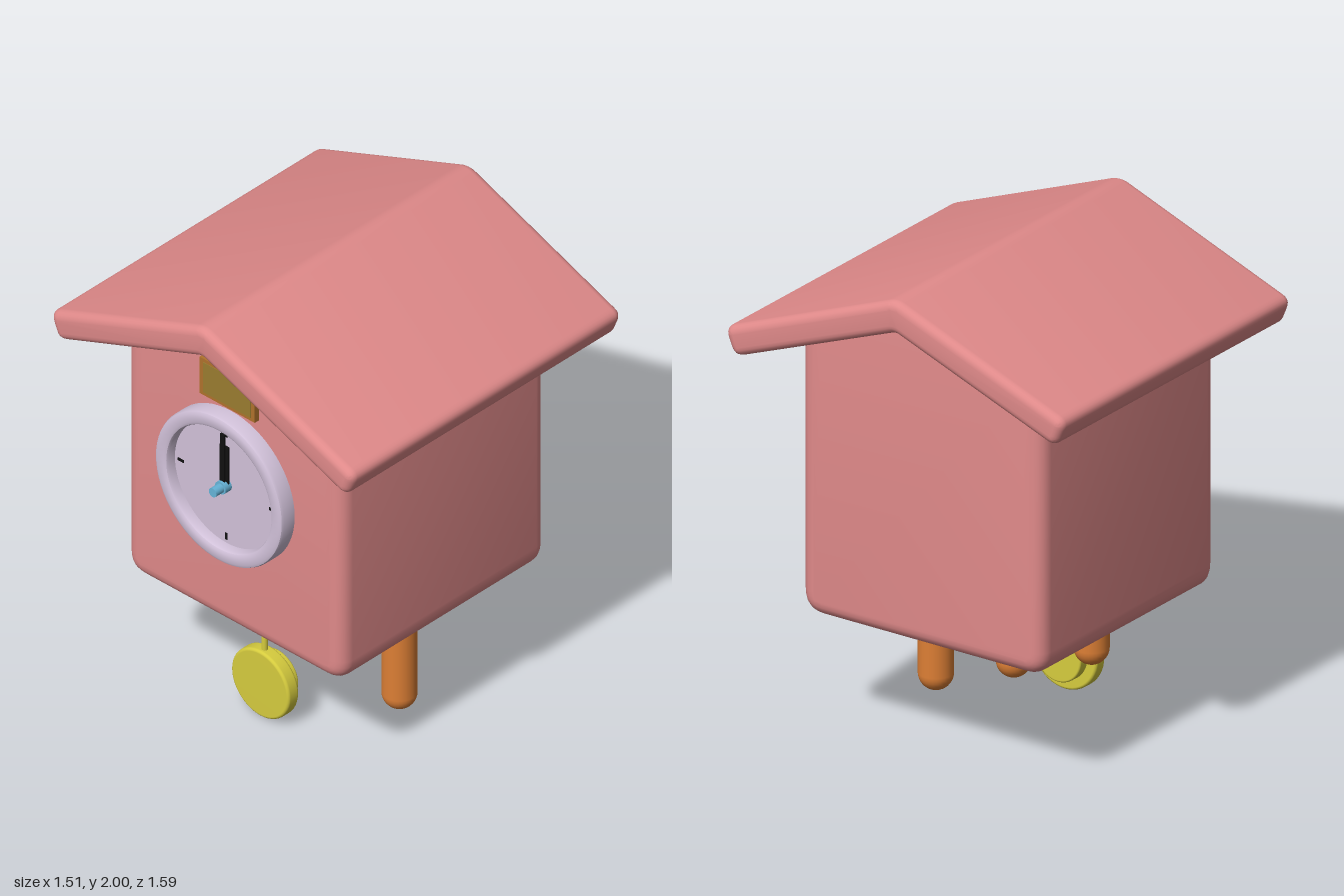
import * as THREE from 'three';
import { toCreasedNormals } from 'three/addons/utils/BufferGeometryUtils.js';

const paint = (color) => new THREE.MeshStandardMaterial({ color });
const pink = paint(0xe08a8a), orange = paint(0xdd7f35), yellow = paint(0xd6cc3e);
const lilac = paint(0xd2c2da), black = paint(0x111111), blue = paint(0x66b4d8);
const gold = paint(0x9a7c30), brown = paint(0xb0722c);

function add(parent, name, geometry, material, x = 0, y = 0, z = 0) {
  const mesh = new THREE.Mesh(geometry, material);
  mesh.name = name;
  mesh.position.set(x, y, z);
  parent.add(mesh);
  return mesh;
}

// Closed outline with softened corners; each corner is [x, y, rounding]
function roundedOutline(corners) {
  const shape = new THREE.Shape();
  const n = corners.length;
  corners.forEach(([x, y, r], i) => {
    const p = new THREE.Vector2(x, y);
    const toward = (c) => new THREE.Vector2(c[0], c[1]).sub(p).setLength(r).add(p);
    const a = toward(corners[(i + n - 1) % n]);
    const b = toward(corners[(i + 1) % n]);
    if (i === 0) shape.moveTo(a.x, a.y);
    else shape.lineTo(a.x, a.y);
    shape.quadraticCurveTo(x, y, b.x, b.y);
  });
  shape.closePath();
  return shape;
}

// Extrudes a side profile across x with rounded ends, centred on x = 0
function extrudeAcross(corners, width, bevel) {
  const geometry = new THREE.ExtrudeGeometry(roundedOutline(corners), {
    depth: width - 2 * bevel, curveSegments: 6,
    bevelEnabled: true, bevelSize: bevel, bevelThickness: bevel,
    bevelOffset: -bevel, bevelSegments: 5,
  });
  geometry.translate(0, 0, -(width - 2 * bevel) / 2);
  geometry.rotateY(Math.PI / 2);
  return toCreasedNormals(geometry, 0.55);
}

// Disc standing on y = 0 with a rounded rim
function roundedDisc(radius, height, bevel) {
  const points = [new THREE.Vector2(0, 0)];
  for (const [cy, start] of [[bevel, -Math.PI / 2], [height - bevel, 0]]) {
    for (let i = 0; i <= 4; i++) {
      const t = start + (i / 4) * Math.PI / 2;
      points.push(new THREE.Vector2(radius - bevel + bevel * Math.cos(t), cy + bevel * Math.sin(t)));
    }
  }
  points.push(new THREE.Vector2(0, height));
  return new THREE.LatheGeometry(points, 48);
}

function buildClock() {
  const clock = new THREE.Group();
  clock.name = 'clock';

  // Raised rim around a recessed dial
  const profile = [[0.335, 0], [0.335, 0.058], [0.331, 0.068], [0.32, 0.073],
    [0.287, 0.073], [0.277, 0.068], [0.272, 0.058], [0.272, 0.02]];
  const rim = new THREE.LatheGeometry(profile.map((p) => new THREE.Vector2(...p)), 64);
  rim.rotateX(Math.PI / 2);
  add(clock, 'clockRim', toCreasedNormals(rim, 0.6), lilac);
  add(clock, 'clockFace', new THREE.CircleGeometry(0.275, 48), lilac, 0, 0, 0.025);

  // Small hour marks
  for (let i = 0; i < 4; i++) {
    const a = (i * Math.PI) / 2;
    const mark = add(clock, 'hourMark', new THREE.BoxGeometry(0.012, 0.03, 0.004), black,
      0.24 * Math.sin(a), 0.24 * Math.cos(a), 0.026);
    mark.rotation.z = -a;
  }

  // Both hands point straight up
  add(clock, 'hourHand', new THREE.BoxGeometry(0.045, 0.19, 0.008), black, 0, 0.095, 0.036);
  add(clock, 'minuteHand', new THREE.BoxGeometry(0.022, 0.25, 0.008), black, 0, 0.125, 0.046);

  // Hub pin in two steps
  for (const [r, z0, z1] of [[0.028, 0.025, 0.06], [0.02, 0.05, 0.103]]) {
    const pin = new THREE.CylinderGeometry(r, r, z1 - z0, 20);
    pin.rotateX(Math.PI / 2);
    add(clock, 'handPin', pin, blue, 0, 0.003, (z0 + z1) / 2);
  }

  clock.position.set(-0.575, 1.185, -0.01);
  clock.rotation.y = -Math.PI / 2;
  return clock;
}

function buildPendulum() {
  const pendulum = new THREE.Group();
  pendulum.name = 'pendulum';
  add(pendulum, 'pendulumRod', new THREE.CylinderGeometry(0.013, 0.013, 0.35, 16), yellow, -0.387, 0.445, 0);
  const bob = add(pendulum, 'pendulumBob', roundedDisc(0.152, 0.06, 0.012), yellow, -0.415, 0.153, 0);
  const boss = add(pendulum, 'pendulumBoss', roundedDisc(0.108, 0.06, 0.008), yellow, -0.37, 0.155, 0);
  bob.rotation.z = boss.rotation.z = -Math.PI / 2;
  pendulum.position.z = -0.01;
  return pendulum;
}

export function createModel() {
  const model = new THREE.Group();
  model.name = 'cuckooClock';

  // House with a gabled top, and the pitched roof over it
  add(model, 'houseBody', extrudeAcross([
    [-0.572, 0.5, 0.1], [0.572, 0.5, 0.1], [0.572, 1.7, 0.08], [0, 1.92, 0.08], [-0.572, 1.7, 0.08],
  ], 1.144, 0.06), pink);
  add(model, 'roof', extrudeAcross([
    [0.758, 1.575, 0.045], [0.806, 1.692, 0.045], [0, 2.005, 0.04],
    [-0.806, 1.692, 0.045], [-0.758, 1.575, 0.045], [0, 1.865, 0.02],
  ], 1.51, 0.035), pink);

  // Little door under the gable
  add(model, 'doorFrame', new THREE.BoxGeometry(0.03, 0.17, 0.29), brown, -0.582, 1.63, -0.01);
  add(model, 'door', new THREE.BoxGeometry(0.03, 0.14, 0.25), gold, -0.585, 1.63, -0.01);

  model.add(buildClock(), buildPendulum());

  // Three hanging weights at stepped heights
  for (const [z, bottom] of [[0.357, 0.028], [-0.01, 0.172], [-0.377, 0.317]]) {
    const height = 0.65 - bottom;
    add(model, 'weight', new THREE.CapsuleGeometry(0.07, height - 0.14, 8, 28), orange,
      -0.024, bottom + height / 2, z);
  }
  return model;
}
